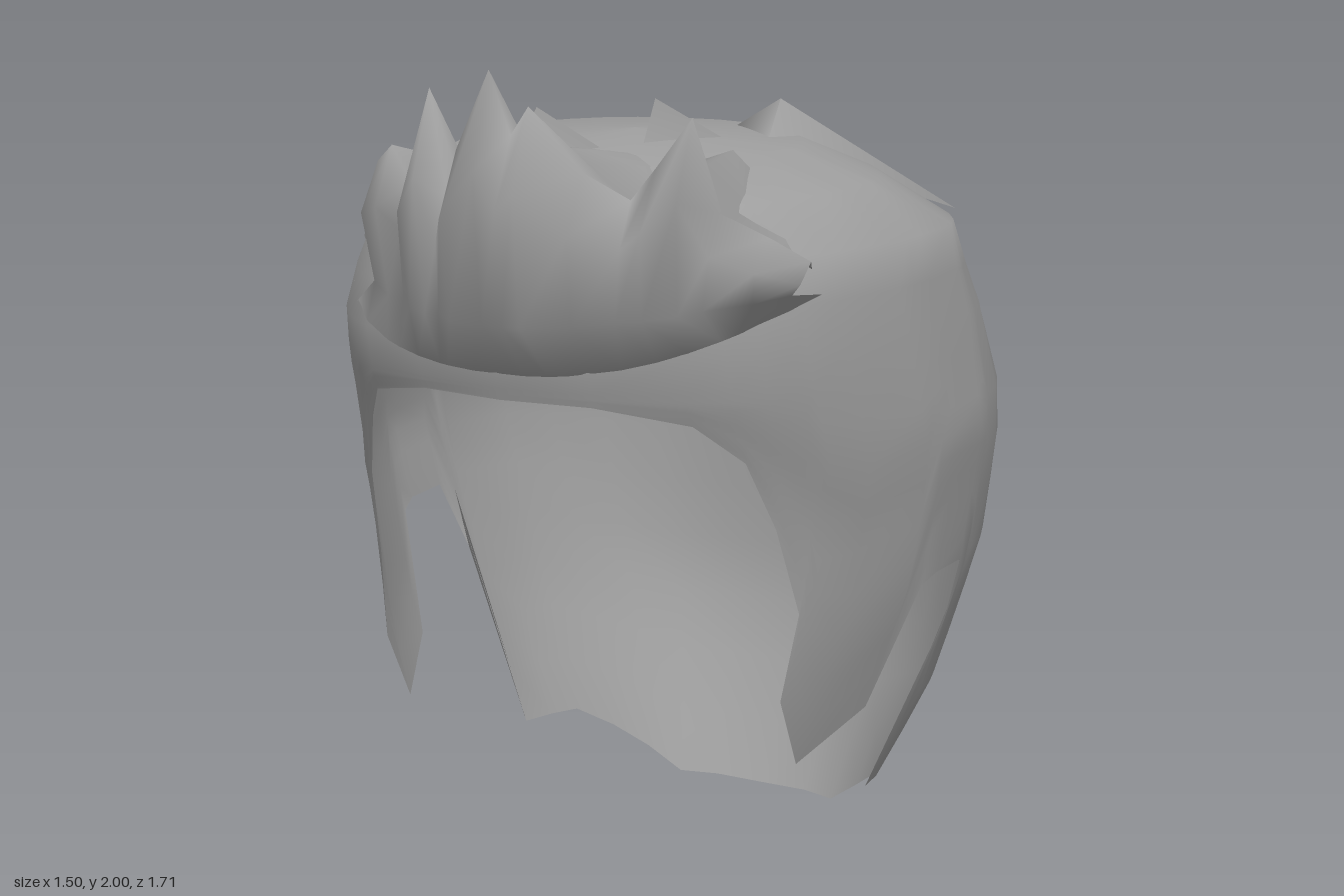
import * as THREE from 'three';

const hair = new THREE.MeshStandardMaterial({ color: 0x9e9e9e, side: THREE.DoubleSide });
hair.name = 'hair grey';

// piecewise linear lookup in rows of [key, value, ...]
function lookup(table, key, column = 1) {
  for (let i = 1; i < table.length; i++) {
    const a = table[i - 1], b = table[i];
    if (key <= b[0]) {
      const t = Math.max(0, (key - a[0]) / (b[0] - a[0]));
      return a[column] + (b[column] - a[column]) * t;
    }
  }
  return table[table.length - 1][column];
}

// smooth surface through rows of points
function gridMesh(rows, name, closed = false) {
  const n = rows[0].length, index = [];
  for (let r = 0; r < rows.length - 1; r++) {
    for (let c = 0; c < (closed ? n : n - 1); c++) {
      const p = r * n + c, q = r * n + (c + 1) % n;
      index.push(p, p + n, q, q, p + n, q + n);
    }
  }
  const geometry = new THREE.BufferGeometry();
  geometry.setAttribute('position', new THREE.Float32BufferAttribute(rows.flat(2), 3));
  geometry.setIndex(index);
  geometry.computeVertexNormals();
  const mesh = new THREE.Mesh(geometry, hair);
  mesh.name = name;
  return mesh;
}

// head cross-sections: height, left half width, right half width, back z, front z, centre z
const sections = [
  [0.0, 0.41, 0.41, -0.63, 0.5, -0.15],
  [0.22, 0.48, 0.48, -0.75, 0.6, -0.1],
  [0.43, 0.585, 0.585, -0.83, 0.7, -0.14],
  [0.6, 0.64, 0.65, -0.85, 0.68, -0.15],
  [0.82, 0.71, 0.71, -0.85, 0.6, -0.15],
  [1.0, 0.735, 0.755, -0.85, 0.6, -0.15],
  [1.14, 0.755, 0.74, -0.845, 0.61, -0.15],
  [1.29, 0.735, 0.72, -0.79, 0.68, -0.15],
  [1.4, 0.72, 0.7, -0.735, 0.71, -0.15],
  [1.6, 0.685, 0.61, -0.6, 0.68, -0.1],
  [1.7, 0.54, 0.53, -0.5, 0.62, 0.0],
  [1.77, 0.38, 0.39, -0.34, 0.52, 0.05],
  [1.8, 0.0, 0.0, 0.08, 0.08, 0.08],
];

// roundness exponent by height: front, back left, back right (smaller is fuller)
const roundness = [[1.0, 1, 0.92, 0.82], [1.2, 0.92, 0.95, 0.84], [1.5, 0.86, 1.12, 0.88], [1.8, 0.95, 1.15, 0.95]];

// lower hairline: angle from the front, height
const hairline = [
  [0, 1.29], [0.25, 1.29], [0.53, 1.25], [0.66, 1.16], [0.77, 1.0],
  [0.88, 0.8], [0.92, 0.6], [1.06, 0.43], [1.3, 0.52], [1.37, 0.8],
  [1.44, 0.82], [1.6, 0.82], [1.66, 0.65], [1.69, 0.22], [1.99, 0.2],
  [2.64, 0.01], [Math.PI, 0],
];

function headPoint(angle, y) {
  const s = Math.sin(angle), c = Math.cos(angle);
  const w = lookup(sections, y, s > 0 ? 1 : 2);
  const [back, front, mid] = [3, 4, 5].map(k => lookup(sections, y, k));
  const k = lookup(roundness, y, c > 0 ? 1 : s > 0 ? 2 : 3);
  const depth = Math.pow(Math.abs(c), k);
  return [
    w * Math.sign(s) * Math.pow(Math.abs(s), k),
    y,
    c > 0 ? mid + (front - mid) * depth : mid - (mid - back) * depth,
  ];
}

function makeShell() {
  const half = hairline.map(p => p[0]);
  half.push(1.84, 2.2, 2.42, 2.88);
  half.sort((a, b) => a - b);
  const angles = [...half, ...half.slice(1, -1).reverse().map(a => -a)];
  const rows = [1.8, 1.77, 1.7, 1.6, 1.5, 1.4].map(y => angles.map(a => headPoint(a, y)));
  const steps = 9;
  for (let i = 0; i <= steps; i++) {
    rows.push(angles.map(a => {
      const edge = lookup(hairline, Math.abs(a));
      return headPoint(a, 1.32 + (edge - 1.32) * i / steps);
    }));
  }
  return gridMesh(rows, 'hairShell', true);
}

// swept-up fringe: x, top height, 1 for a peak and 0 for a valley
const fringe = [
  [-0.52, 1.6, 0], [-0.45, 1.68, 0], [-0.37, 1.76, 1], [-0.28, 1.81, 1],
  [-0.24, 1.73, 0], [-0.18, 1.82, 1], [-0.12, 1.95, 1], [-0.1, 1.72, 0],
  [-0.04, 1.83, 1], [0.05, 2.0, 1], [0.1, 1.87, 1], [0.14, 1.93, 1],
  [0.25, 1.8, 1], [0.32, 1.74, 0], [0.38, 1.81, 1], [0.44, 1.91, 1],
  [0.47, 1.71, 0], [0.56, 1.66, 1], [0.61, 1.6, 0],
];

function makeFringe() {
  const reach = x => 0.86 - 1.1 * (x - 0.08) ** 2;
  const rows = [
    ([x]) => [x * 0.75, 1.75 - 0.3 * x * x, 0.1],
    ([x, top]) => [x * 0.9, Math.min(top - 0.02, 1.81), reach(x) - 0.34],
    ([x, top]) => [x * 0.95, Math.min(top - 0.03, 1.8), reach(x) - 0.18],
    ([x, top, peak]) => [x, top, reach(x) - (peak ? 0.07 : 0.11)],
    ([x, top, peak]) => [x, 1.5 + (top - 1.5) * 0.6, reach(x) - (peak ? 0 : 0.06)],
    ([x, , peak]) => [x * 0.97, 1.48 + 0.15 * x * x, reach(x) - (peak ? 0.03 : 0.06)],
    ([x]) => headPoint(Math.asin(x * 0.96 / 0.7), 1.35 + 0.45 * x * x),
  ].map(rule => fringe.map(rule));
  return gridMesh(rows, 'fringe');
}

// pointed tuft: three root corners and a tip
function makeTuft([a, b, c, tip]) {
  return gridMesh([[tip, tip, tip], [a, b, c]], 'tuft', true);
}

export function createModel() {
  const model = new THREE.Group();
  model.name = 'hair';
  model.add(makeShell(), makeFringe());
  const tufts = new THREE.Group();
  tufts.name = 'crownTufts';
  [
    [[-0.2, 1.76, 0.3], [-0.06, 1.74, 0.56], [0.06, 1.76, 0.28], [-0.05, 1.88, 0.43]],
    [[0.0, 1.76, 0.0], [0.1, 1.76, 0.24], [0.22, 1.76, 0.0], [0.1, 1.88, 0.17]],
    [[0.08, 1.76, -0.22], [0.28, 1.76, -0.02], [0.6, 1.6, -0.36], [0.2, 1.84, -0.26]],
  ].forEach(t => tufts.add(makeTuft(t)));
  model.add(tufts);
  return model;
}
